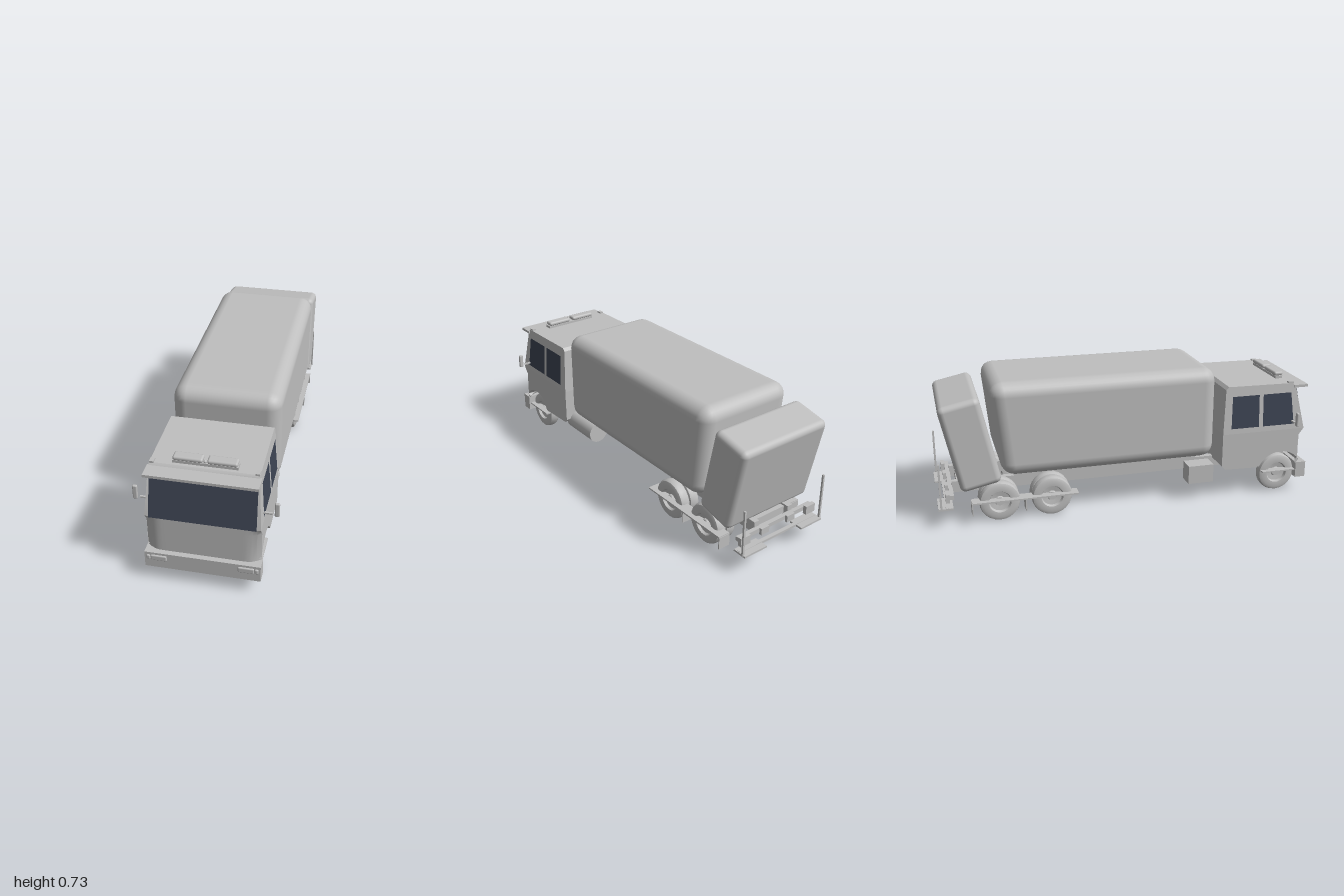
import * as THREE from 'three';
import { toCreasedNormals } from 'three/addons/utils/BufferGeometryUtils.js';
import { RoundedBoxGeometry } from 'three/addons/geometries/RoundedBoxGeometry.js';

export function createModel() {
  const truck = new THREE.Group();
  truck.name = 'refuseTruck';
  const grey = new THREE.MeshStandardMaterial({ color: 0xbfbfbf });
  grey.name = 'light grey';
  const glass = new THREE.MeshStandardMaterial({ color: 0x3d4453, side: THREE.DoubleSide });
  glass.name = 'dark glass';

  const add = (name, geo, mat = grey) => {
    const m = new THREE.Mesh(geo, mat);
    m.name = name;
    truck.add(m);
    return m;
  };
  // Box from its limits on each axis, optionally rounded
  const box = (name, x0, x1, y0, y1, z0, z1, r = 0) => {
    const s = [x1 - x0, y1 - y0, z1 - z0];
    const g = r ? new RoundedBoxGeometry(...s, 2, r) : new THREE.BoxGeometry(...s);
    add(name, g).position.set((x0 + x1) / 2, (y0 + y1) / 2, (z0 + z1) / 2);
  };
  // The same box on both sides
  const pair = (name, x0, x1, ...rest) => {
    box(name, x0, x1, ...rest);
    box(name, -x1, -x0, ...rest);
  };
  const moveVertices = (geo, rule) => {
    const p = geo.attributes.position, v = new THREE.Vector3();
    for (let i = 0; i < p.count; i++) {
      rule(v.fromBufferAttribute(p, i));
      p.setXYZ(i, v.x, v.y, v.z);
    }
    return geo;
  };
  // Side profile (z, y) extruded across the width
  const across = (shape, width, steps) => {
    const g = new THREE.ExtrudeGeometry(shape, { depth: width, steps, bevelEnabled: false, curveSegments: 14 });
    g.translate(0, 0, -width / 2);
    g.rotateY(-Math.PI / 2);
    return g;
  };
  const quad = (name, pts) => {
    const g = new THREE.BufferGeometry();
    g.setAttribute('position', new THREE.Float32BufferAttribute(pts.flat(), 3));
    g.setIndex([0, 1, 2, 0, 2, 3]);
    g.computeVertexNormals();
    add(name, g, glass);
  };

  // Lower cab with wheel arches and rounded front corners
  const lower = new THREE.Shape();
  lower.moveTo(0.5, 0.37);
  lower.lineTo(0.5, 0.19);
  lower.lineTo(0.52, 0.17);
  lower.lineTo(0.69, 0.165);
  lower.absarc(0.84, 0.11, 0.135, 2.68, 0.46, true);
  lower.lineTo(0.967, 0.17);
  lower.lineTo(0.968, 0.33);
  lower.lineTo(0.968, 0.37);
  const lowerGeo = moveVertices(across(lower, 0.54, 27), (v) => {
    const t = Math.max(0, (Math.abs(v.x) - 0.2) / 0.07);
    if (v.z > 0.95) v.z -= 0.03 * t * t * Math.min(1, (0.37 - v.y) / 0.04);
  });
  add('lowerCab', toCreasedNormals(lowerGeo, 0.6));

  // Upper cab, narrowing towards the roof
  const halfWidth = (y) => 0.27 - 0.018 * (y - 0.37) / 0.25;
  const frontZ = (y) => 0.968 - 0.232 * (y - 0.37);
  const upper = new THREE.Shape();
  [[0.5, 0.37], [0.968, 0.37], [0.913, 0.607], [0.895, 0.624], [0.53, 0.628], [0.514, 0.612]]
    .forEach(([z, y], i) => (i ? upper.lineTo(z, y) : upper.moveTo(z, y)));
  const upperGeo = moveVertices(across(upper, 2, 1), (v) => { v.x *= halfWidth(v.y); });
  add('upperCab', toCreasedNormals(upperGeo, 0.6));

  // Windscreen and side windows
  quad('windscreen', [[-0.25, 0.367], [0.25, 0.367], [0.248, 0.6], [-0.248, 0.6]]
    .map(([x, y]) => [x, y, frontZ(y) + 0.004]));
  for (const s of [1, -1]) {
    for (const [a, b, c, d] of [[0.905, 0.725, 0.725, 0.885], [0.702, 0.545, 0.55, 0.702]]) {
      const pts = [[a, 0.4], [b, 0.4], [c, 0.575], [d, 0.575]];
      quad('sideWindow', pts.map(([z, y]) => [s * (halfWidth(y) + 0.004), y, z]));
    }
  }

  // Sun visor, roof lights, mirrors
  box('sunVisor', -0.26, 0.26, 0.6, 0.614, 0.9, 0.98);
  box('lightBarBase', -0.15, 0.15, 0.62, 0.638, 0.84, 0.88);
  pair('roofBeacon', 0.01, 0.148, 0.638, 0.66, 0.835, 0.885, 0.01);
  add('beaconCentre', new THREE.SphereGeometry(0.008, 10, 8)).position.set(0, 0.647, 0.875);
  pair('markerLight', 0.23, 0.25, 0.622, 0.632, 0.87, 0.9);
  pair('mirror', 0.318, 0.341, 0.405, 0.48, 0.888, 0.904, 0.006);
  pair('mirrorArm', 0.262, 0.308, 0.413, 0.421, 0.89, 0.9);

  // Front bumper and headlights
  box('frontBumper', -0.275, 0.275, 0.085, 0.172, 0.935, 0.993);
  pair('headlight', 0.168, 0.245, 0.13, 0.16, 0.98, 1.0, 0.006);
  pair('indicator', 0.247, 0.265, 0.132, 0.158, 0.98, 1.0, 0.006);

  // Chassis
  pair('chassisRail', 0.095, 0.125, 0.14, 0.2, -0.92, 0.93);
  for (const z of [0.2, -0.2, -0.55, -0.88]) box('crossMember', -0.1, 0.1, 0.15, 0.19, z - 0.015, z + 0.015);
  pair('bodyMount', 0.095, 0.125, 0.2, 0.26, -0.6, 0.4);
  const tank = add('fuelTank', new THREE.CylinderGeometry(0.058, 0.058, 0.24, 24));
  tank.rotation.x = Math.PI / 2;
  tank.position.set(0.19, 0.173, 0.41);
  box('batteryBox', -0.25, -0.16, 0.1, 0.2, 0.32, 0.46);

  // Refuse body with sloped rear end
  const body = moveVertices(new RoundedBoxGeometry(0.54, 0.49, 1.18, 3, 0.07), (v) => {
    if (v.z < 0) v.z += 0.1 * (0.245 - v.y);
  });
  add('refuseBody', body).position.set(0, 0.49, -0.13);

  // Tilted tailgate
  const tailgate = add('tailgate', new RoundedBoxGeometry(0.53, 0.46, 0.21, 3, 0.03));
  tailgate.position.set(0, 0.43, -0.825);
  tailgate.rotation.x = -0.21;

  // Wheels: rounded tyre with a recessed rim and raised hub
  const profile = [[0, -0.014], [0.052, -0.014], [0.058, -0.028], [0.085, -0.03], [0.1, -0.024],
    [0.105, -0.012], [0.105, 0.012], [0.1, 0.024], [0.085, 0.03], [0.058, 0.028], [0.052, 0.014],
    [0.026, 0.01], [0.022, 0.02], [0, 0.02]].map(([r, y]) => new THREE.Vector2(r, y));
  const wheelGeo = toCreasedNormals(new THREE.LatheGeometry(profile, 24), 0.7);
  const wheel = (name, x, z) => {
    const w = add(name, wheelGeo);
    w.rotation.z = x > 0 ? -Math.PI / 2 : Math.PI / 2;
    w.position.set(x, 0.109, z);
  };
  for (const z of [0.84, -0.42, -0.69]) {
    for (const s of [1, -1]) {
      wheel('outerWheel', s * 0.21, z);
      if (z < 0) wheel('innerWheel', s * 0.152, z);
    }
    const axle = add('axle', new THREE.CylinderGeometry(0.018, 0.018, 0.36, 12));
    axle.rotation.z = Math.PI / 2;
    axle.position.set(0, 0.109, z);
  }

  // Side guards with hanging flaps
  pair('frontGuard', 0.2, 0.265, 0.122, 0.13, 0.745, 0.935);
  for (const z of [-0.56, -0.832]) {
    pair('rearGuard', 0.2, 0.265, 0.118, 0.126, z, z + 0.275);
    pair('mudFlap', 0.2, 0.265, 0.058, 0.122, z - 0.003, z + 0.003);
  }

  // Rear step, grab posts and lights
  box('rearBeam', -0.24, 0.24, 0.15, 0.172, -0.94, -0.918);
  box('rearLowerBar', -0.25, 0.25, 0.1, 0.112, -0.965, -0.945);
  pair('rearStep', 0.115, 0.255, 0.1, 0.11, -1.0, -0.925);
  pair('grabPost', 0.25, 0.26, 0.105, 0.35, -0.99, -0.98);
  pair('tailLight', 0.185, 0.245, 0.135, 0.18, -0.96, -0.94);
  pair('reverseLight', 0.06, 0.11, 0.14, 0.175, -0.955, -0.94);

  return truck;
}
